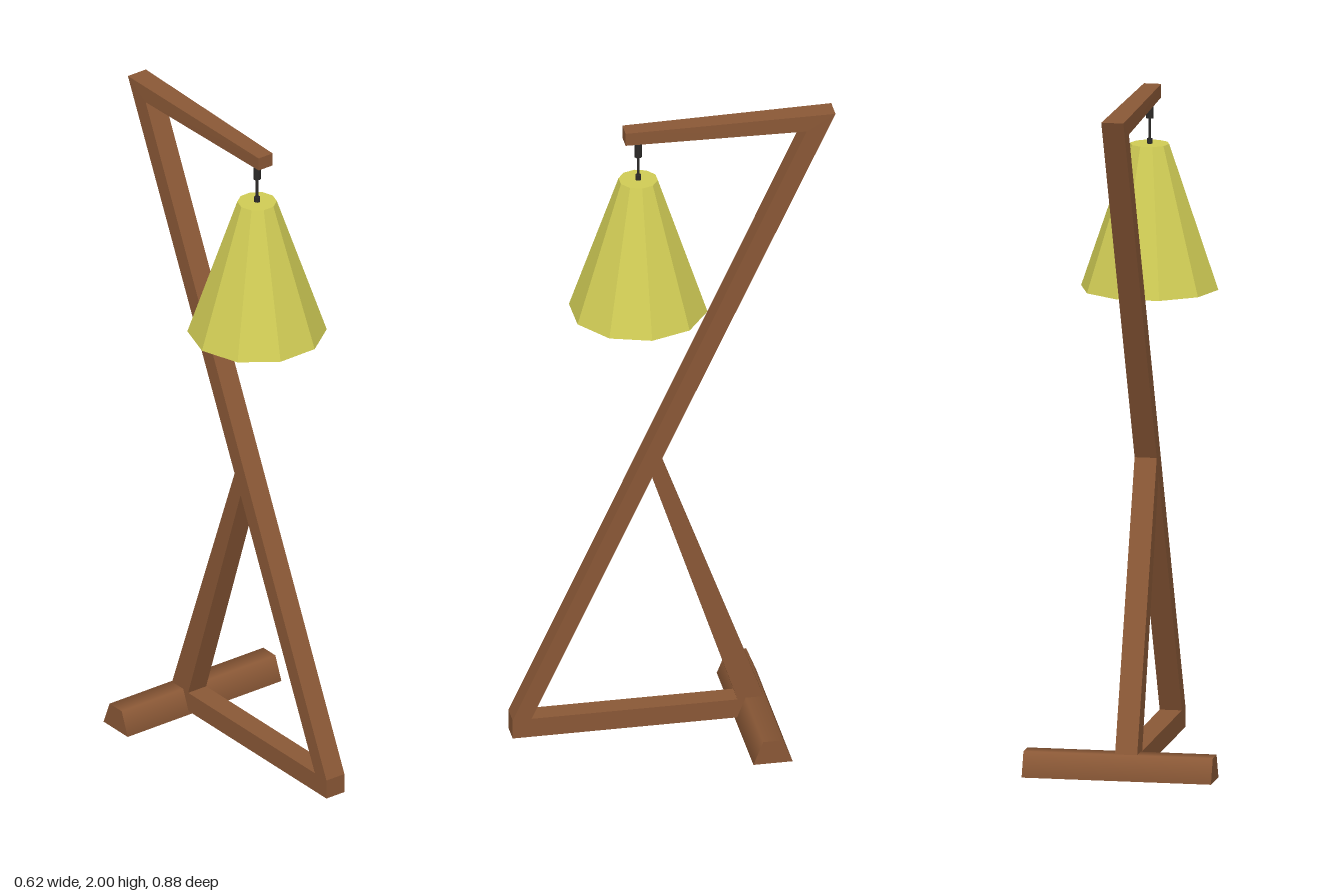
import * as THREE from 'three';

const wood = new THREE.MeshStandardMaterial({ color: 0x8a5836 });
const shadeMat = new THREE.MeshStandardMaterial({ color: 0xd0cc55, flatShading: true });
const dark = new THREE.MeshStandardMaterial({ color: 0x2c2a28 });

function add(parent, name, geometry, material, x = 0, y = 0, z = 0) {
  const mesh = new THREE.Mesh(geometry, material);
  mesh.name = name;
  mesh.position.set(x, y, z);
  parent.add(mesh);
  return mesh;
}

const points = (list) => list.map(([x, y]) => new THREE.Vector2(x, y));

// Z-shaped side profile with the triangular opening, extruded to the beam width
function frameGeometry(width) {
  const shape = new THREE.Shape(points([
    [0.484, 0.01], [0.484, 0.07], [-0.392, 1.95], [0.146, 1.955], [0.146, 1.995],
    [-0.478, 2], [0.039, 0.9], [-0.265, 0.07], [-0.265, 0.01],
  ]));
  shape.holes.push(new THREE.Path(points([[0.428, 0.07], [-0.186, 0.07], [0.068, 0.84]])));
  const geo = new THREE.ExtrudeGeometry(shape, { depth: width, bevelEnabled: false });
  geo.translate(0, 0, -width / 2);
  // narrow the free end of the top arm
  const p = geo.attributes.position;
  for (let i = 0; i < p.count; i++) {
    if (p.getY(i) > 1.9 && p.getX(i) > 0) p.setZ(i, p.getZ(i) * 0.78);
  }
  geo.computeVertexNormals();
  return geo;
}

export function createModel() {
  const model = new THREE.Group();
  model.name = 'floorLamp';

  // wooden stand, turned about the vertical
  const stand = new THREE.Group();
  stand.name = 'stand';
  stand.position.x = 0.055;
  stand.rotation.y = -1.093;
  model.add(stand);
  add(stand, 'frame', frameGeometry(0.066), wood);

  // half-round cross foot with a flat underside
  const radius = 0.0585, length = 0.564;
  const foot = new THREE.CylinderGeometry(radius, radius, length, 3, 1, false, Math.PI / 2, Math.PI);
  foot.rotateX(Math.PI / 2).scale(1, 1.44, 1);
  add(stand, 'crossFoot', foot, wood, -0.239, 0, -0.023);
  const sole = new THREE.PlaneGeometry(radius * 2, length).rotateX(Math.PI / 2);
  add(stand, 'crossFootUnderside', sole, wood, -0.239, 0, -0.023);

  // hanging lamp
  const lamp = new THREE.Group();
  lamp.name = 'hangingLamp';
  lamp.position.set(0.103, 0, 0.092);
  model.add(lamp);
  const shade = new THREE.CylinderGeometry(0.058, 0.204, 0.43, 10);
  add(lamp, 'shade', shade, shadeMat, 0, 1.61, 0).rotation.y = THREE.MathUtils.degToRad(10);
  add(lamp, 'cord', new THREE.CylinderGeometry(0.004, 0.004, 0.14, 8), dark, 0, 1.89, 0);
  add(lamp, 'cordHolder', new THREE.CylinderGeometry(0.011, 0.011, 0.055, 10), dark, 0, 1.928, 0);
  add(lamp, 'shadeFitting', new THREE.CylinderGeometry(0.009, 0.009, 0.016, 10), dark, 0, 1.832, 0);

  return model;
}
